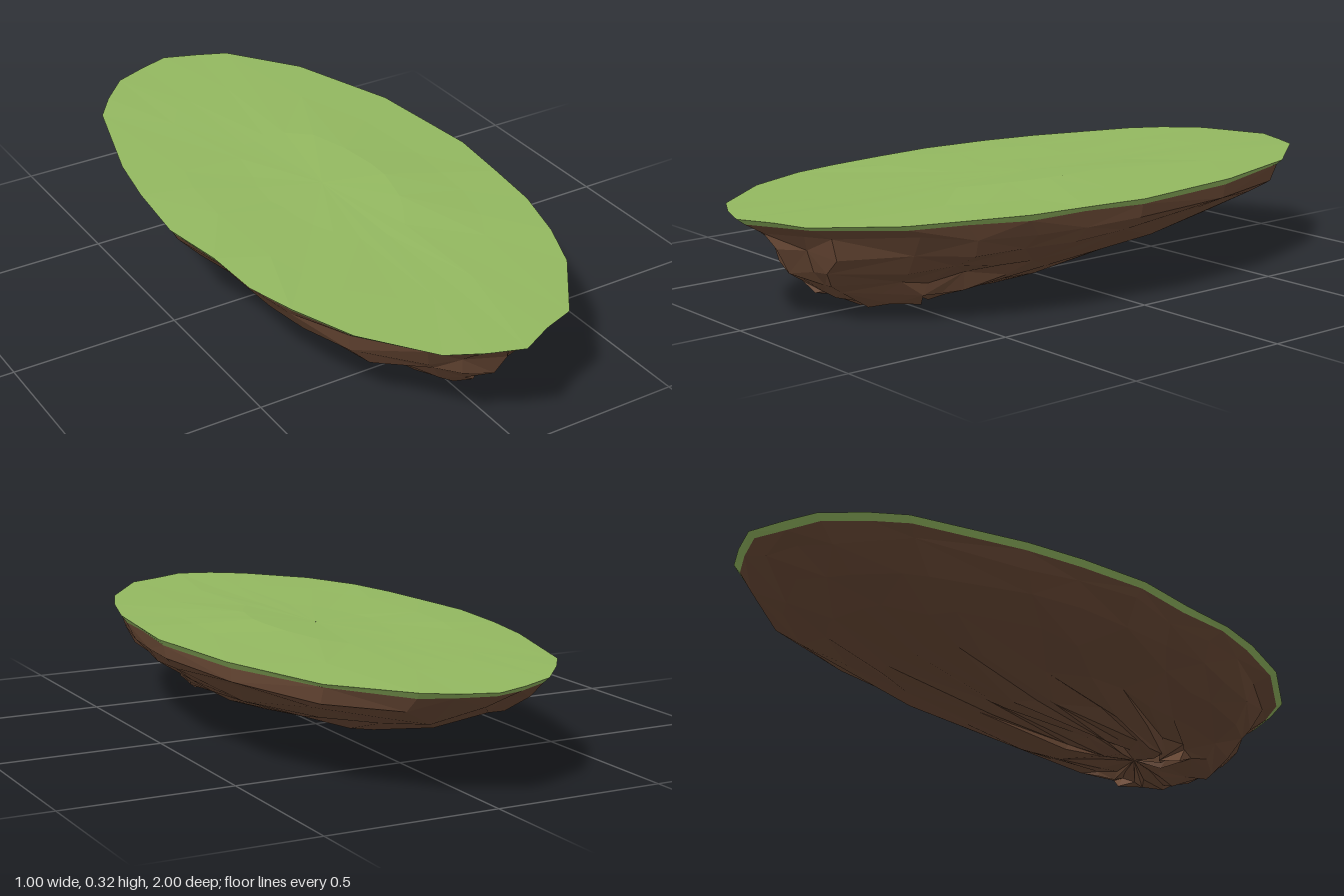
import * as THREE from 'three';

// Island outline (x, z), clockwise seen from above
const OUTLINE = [
  [0, -1], [0.1, -0.965], [0.19, -0.92], [0.35, -0.71], [0.46, -0.37], [0.5, 0], [0.48, 0.2],
  [0.46, 0.38], [0.41, 0.56], [0.35, 0.71], [0.2, 0.915], [0.1, 0.95], [0, 1], [-0.1, 0.965],
  [-0.2, 0.91], [-0.345, 0.72], [-0.42, 0.53], [-0.46, 0.38], [-0.47, 0.2], [-0.5, 0],
  [-0.48, -0.22], [-0.45, -0.4], [-0.355, -0.73], [-0.29, -0.82], [-0.2, -0.92], [-0.1, -0.965],
];

// Seeded noise in -1..1
function makeNoise(seed) {
  let s = seed;
  return () => {
    s = (s * 16807) % 2147483647;
    return (s / 2147483647) * 2 - 1;
  };
}

// Fit the outline into the given extents at height y, roughened by jx, jy, jz
function ring([y, x0, x1, z0, z1, jx = 0, jy = 0, jz = 0], noise) {
  return OUTLINE.map(([ox, oz]) => new THREE.Vector3(
    (x0 + x1) / 2 + ox * (x1 - x0) + noise() * jx,
    Math.max(0.008, y + noise() * jy),
    (z0 + z1) / 2 + oz * (z1 - z0) / 2 + noise() * jz,
  ));
}

// Skin consecutive rings with facets, alternating the diagonals
function loft(rings) {
  const pos = [];
  const tri = (...v) => v.forEach((p) => pos.push(p.x, p.y, p.z));
  for (let i = 0; i + 1 < rings.length; i++) {
    const a = rings[i], b = rings[i + 1], n = a.length;
    for (let j = 0; j < n; j++) {
      const k = (j + 1) % n;
      if ((i + j) % 2) {
        tri(a[j], a[k], b[k]);
        tri(a[j], b[k], b[j]);
      } else {
        tri(a[j], a[k], b[j]);
        tri(a[k], b[k], b[j]);
      }
    }
  }
  const g = new THREE.BufferGeometry();
  g.setAttribute('position', new THREE.Float32BufferAttribute(pos, 3));
  g.computeVertexNormals();
  return g;
}

function part(name, rings, color) {
  const material = new THREE.MeshStandardMaterial({ color, flatShading: true });
  const mesh = new THREE.Mesh(loft(rings), material);
  mesh.name = name;
  return mesh;
}

export function createModel() {
  const group = new THREE.Group();
  group.name = 'floatingIsland';
  const noise = makeNoise(4127);

  // Grass: gently mounded top plus a thin rim that tucks under
  const mound = (p) => {
    p.y += 0.016 * Math.exp(-(((p.x - 0.17) / 0.15) ** 2) - (p.z / 0.45) ** 2)
      + 0.006 * Math.exp(-(((p.x + 0.4) / 0.08) ** 2) - (p.z / 0.3) ** 2);
    return p;
  };
  const top = [0.001, 0.35, 0.7].map((s) =>
    ring([0.304, -0.5 * s, 0.5 * s, -s, s, 0.02 * s, 0.002 * s, 0.03 * s], noise).map(mound));
  const edge = ring([0.303, -0.5, 0.5, -1, 1, 0, 0.002], noise);
  const rim = ring([0.287, -0.487, 0.487, -0.98, 0.975, 0, 0.003], noise);
  group.add(part('grass', [...top, edge, rim], 0x93b860));

  // Rock: y, x extents, z extents, roughness; the deepest mass sits toward the front
  const rock = [
    [0.25, -0.465, 0.475, -0.93, 0.91, 0.008, 0.012, 0.01],
    [0.2, -0.42, 0.435, -0.83, 0.88, 0.014, 0.016, 0.015],
    [0.15, -0.335, 0.345, -0.69, 0.86, 0.015, 0.016, 0.02],
    [0.105, -0.235, 0.27, -0.48, 0.81, 0.02, 0.012, 0.02],
    [0.065, -0.155, 0.215, -0.12, 0.755, 0.02, 0.012, 0.025],
    [0.035, -0.135, 0.175, 0.2, 0.65, 0.015, 0.02, 0.025],
    [0.035, -0.08, 0.11, 0.33, 0.56, 0.015, 0.02, 0.02],
    [0.045, 0.014, 0.016, 0.449, 0.451],
  ].map((r) => ring(r, noise));

  // Hanging spurs on the lowest ring
  const low = rock[5];
  low[17].set(-0.11, 0, 0.43);
  low[16].set(-0.13, 0.012, 0.5);
  low[8].set(0.16, 0.022, 0.52);
  low[12].set(0.03, 0.012, 0.63);
  group.add(part('rock', [rim, ...rock], 0x6b4a36));

  return group;
}
